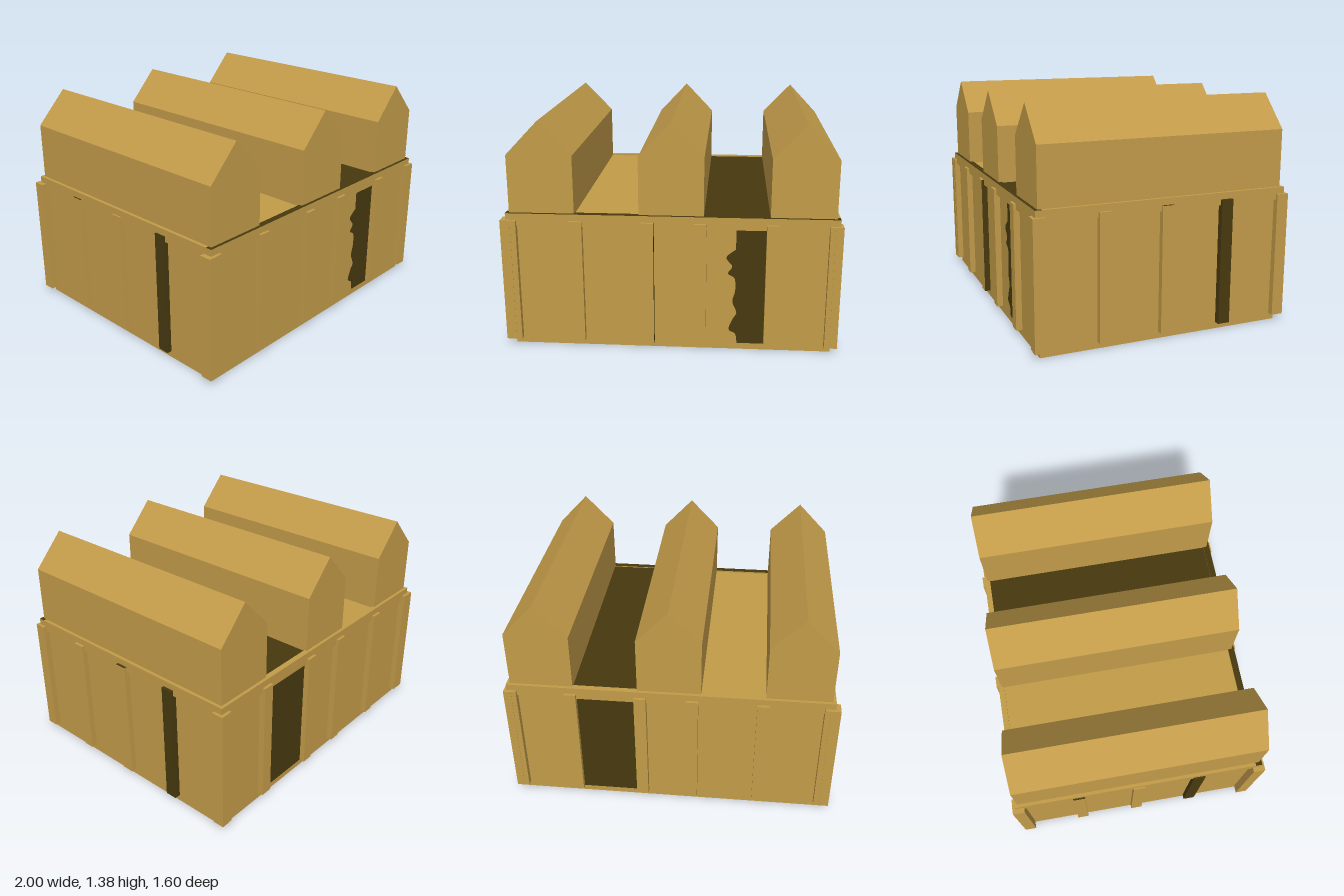
import * as THREE from 'three';

export function createModel() {
  const model = new THREE.Group();
  const gold = new THREE.MeshStandardMaterial({ color: 0xc29b49 });
  gold.name = 'ochre';
  const dark = new THREE.MeshStandardMaterial({ color: 0x47390f });
  dark.name = 'dark umber';

  const add = (name, geometry, material) => {
    const mesh = new THREE.Mesh(geometry, material);
    mesh.name = name;
    model.add(mesh);
    return mesh;
  };
  // box between two corners; darkFaces lists faces (+x -x +y -y +z -z) in the dark colour
  const box = (name, [x0, x1], [y0, y1], [z0, z1], material = gold, darkFaces = []) => {
    const mats = darkFaces.length
      ? [0, 1, 2, 3, 4, 5].map(i => (darkFaces.includes(i) ? dark : material))
      : material;
    add(name, new THREE.BoxGeometry(x1 - x0, y1 - y0, z1 - z0), mats)
      .position.set((x0 + x1) / 2, (y0 + y1) / 2, (z0 + z1) / 2);
  };

  // main walls and flat roof
  box('walls', [-0.95, 0.96], [0, 0.78], [-0.76, 0.76]);
  box('roofDeck', [-0.95, 0.96], [0.77, 0.83], [-0.75, 0.75]);
  box('darkRoofStrip', [0.195, 0.58], [0.828, 0.834], [-0.745, 0.75], dark);

  // rim around the flat roof
  const rimY = [0.765, 0.84];
  box('frontRim', [-0.97, 0.98], rimY, [0.74, 0.78], gold, [2, 3]);
  box('backRim', [-0.97, 0.98], rimY, [-0.78, -0.745], gold, [3]);
  box('rightRim', [-0.97, -0.94], rimY, [-0.745, 0.74]);
  box('leftRim', [0.95, 0.98], rimY, [-0.745, 0.74]);

  // three gabled roof halls running front to back
  for (const [x0, x1] of [[-0.95, -0.565], [-0.185, 0.195], [0.58, 0.96]]) {
    const gable = new THREE.Shape([
      [x0, 0.82], [x1, 0.82], [x1, 1.185], [(x0 + x1) / 2, 1.385], [x0, 1.185],
    ].map(p => new THREE.Vector2(...p)));
    const hall = new THREE.ExtrudeGeometry(gable, { depth: 1.522, bevelEnabled: false });
    add('roofHall', hall.translate(0, 0, -0.761), gold);
  }

  // pilasters on front and back
  const postY = [0.04, 0.8];
  [-0.98, -0.59, -0.17, 0.14, 0.56, 0.92].forEach((x, i) => {
    box('frontPost', [x, x + 0.073], postY, [0.75, 0.797], gold, i === 2 ? [0] : []);
    box('backPost', [x, x + 0.073], postY, [-0.797, -0.75]);
  });

  // pilasters on the two sides, one dark on each
  [-0.762, -0.382, 0, 0.382, 0.762].forEach((z, i) => {
    const depth = [z - 0.037, z + 0.037];
    const corner = i === 0 || i === 4;
    box('leftPost', [0.95, 0.997], postY, depth, i === 1 ? dark : gold, i === 2 ? [2] : []);
    box('rightPost', [corner ? -1 : -0.98, -0.94], postY, depth,
      i === 3 ? dark : gold, i === 1 ? [2] : []);
  });

  // dark opening on the front with a ragged edge
  const ragged = new THREE.Shape();
  ragged.moveTo(0.4, 0.04);
  ragged.splineThru([
    [0.39, 0.1], [0.35, 0.13], [0.375, 0.2], [0.395, 0.24], [0.37, 0.31], [0.385, 0.38],
    [0.38, 0.46], [0.34, 0.49], [0.365, 0.535], [0.33, 0.59], [0.385, 0.64],
  ].map(p => new THREE.Vector2(...p)));
  ragged.lineTo(0.385, 0.765);
  ragged.lineTo(0.562, 0.765);
  ragged.lineTo(0.562, 0.04);
  const opening = new THREE.ExtrudeGeometry(ragged, { depth: 0.004, bevelEnabled: false, curveSegments: 4 });
  add('frontOpening', opening.translate(0, 0, 0.759), dark);

  // dark opening on the back filling one bay
  box('backOpening', [0.213, 0.56], [0.04, 0.765], [-0.764, -0.759], dark);

  return model;
}
